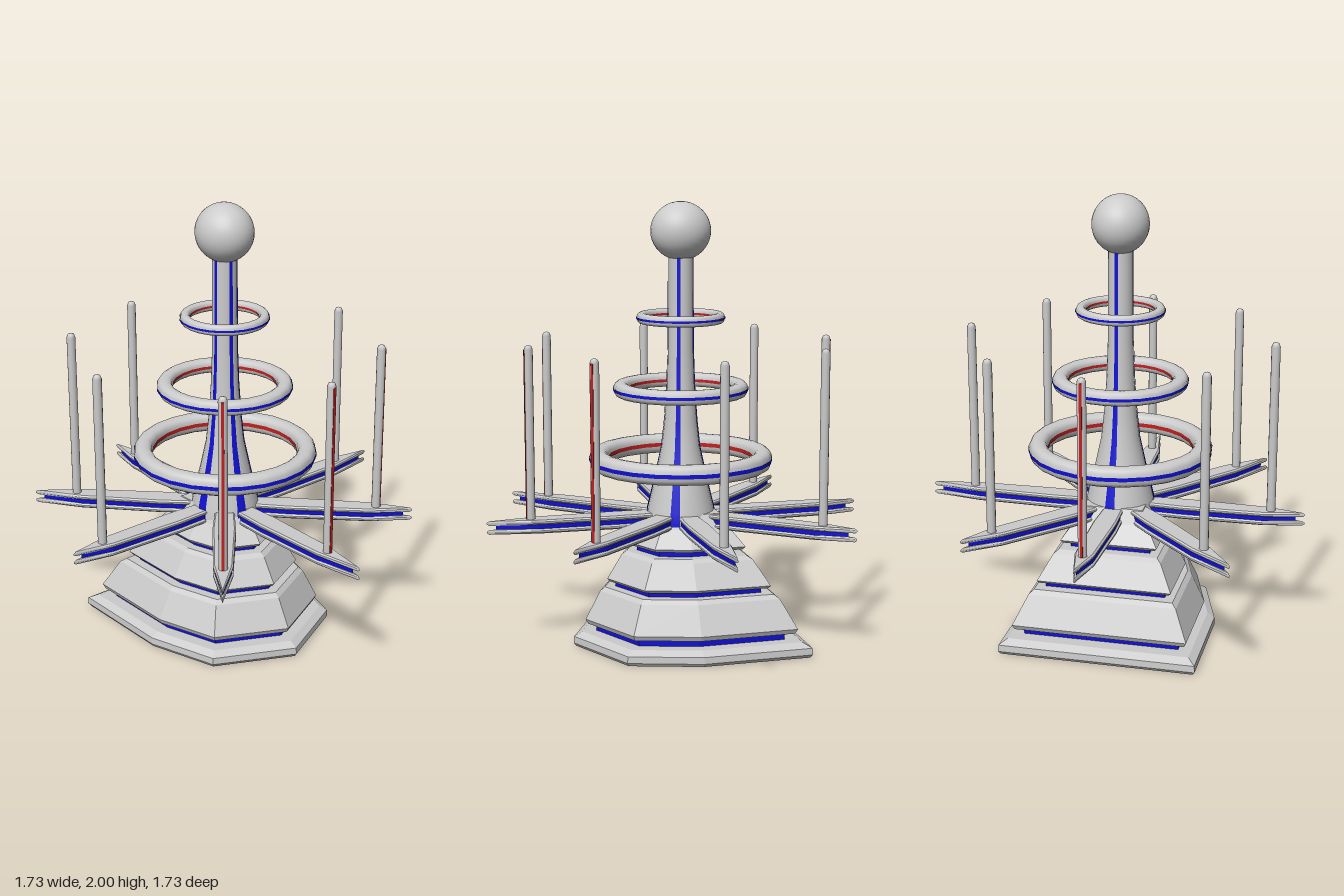
import * as THREE from 'three';

const GREY = new THREE.MeshStandardMaterial({ color: 0xcccccc });
const FLAT = new THREE.MeshStandardMaterial({ color: 0xcccccc, flatShading: true });
const BLUE = new THREE.MeshStandardMaterial({ color: 0x1010d0, side: THREE.DoubleSide });
const RED = new THREE.MeshStandardMaterial({ color: 0xc02020, side: THREE.DoubleSide });
const v2 = (x, y) => new THREE.Vector2(x, y);
const rad = THREE.MathUtils.degToRad;

// Seven-sided plan (x, z), counter-clockwise seen from above, half width 1
const PLAN = [[1, 0.03], [1, -1.1], [-1, -1.1], [-1, 0.03], [-0.78, 0.75], [0, 1.13], [0.78, 0.75]];

// Solid through scaled copies of the plan, levels = [y, half width] from bottom up
function loft(levels) {
  const n = PLAN.length, pos = [], idx = [];
  levels.forEach(([y, s]) => PLAN.forEach(([x, z]) => pos.push(x * s, y, z * s)));
  for (let k = 0; k < levels.length - 1; k++) {
    for (let i = 0; i < n; i++) {
      const a = k * n + i, b = k * n + (i + 1) % n;
      idx.push(a, b, b + n, a, b + n, a + n);
    }
  }
  const top = (levels.length - 1) * n;
  for (let i = 1; i < n - 1; i++) idx.push(0, i + 1, i, top, top + i, top + i + 1);
  const g = new THREE.BufferGeometry();
  g.setAttribute('position', new THREE.Float32BufferAttribute(pos, 3));
  g.setIndex(idx);
  const flat = g.toNonIndexed();
  flat.computeVertexNormals();
  return flat;
}

function add(parent, name, geometry, material, y = 0) {
  const m = new THREE.Mesh(geometry, material);
  m.name = name;
  m.position.y = y;
  parent.add(m);
  return m;
}

// Flat pointed blade along +x, its thickness upwards
function blade(length, w, thickness, bevel) {
  const s = new THREE.Shape([
    v2(0.06, -w * 0.8), v2(0.3, -w), v2(0.66, -w * 0.82), v2(length, 0),
    v2(0.66, w * 0.82), v2(0.3, w), v2(0.06, w * 0.8),
  ]);
  const g = new THREE.ExtrudeGeometry(s, {
    depth: thickness - 2 * bevel, bevelEnabled: bevel > 0, bevelThickness: bevel,
    bevelSize: bevel, bevelOffset: -bevel, bevelSegments: 1,
  });
  return g.rotateX(-Math.PI / 2).translate(0, bevel, 0);
}

export function createModel() {
  const model = new THREE.Group();
  model.name = 'tower';
  const body = new THREE.Group();
  body.name = 'body';
  body.position.set(-0.024, 0, -0.023);
  model.add(body);

  // Stepped base with blue bands in the gaps
  const tiers = [
    [[0, 0.435], [0.015, 0.445], [0.045, 0.443], [0.066, 0.41]],
    [[0.1, 0.385], [0.122, 0.395], [0.25, 0.335], [0.268, 0.315]],
    [[0.292, 0.295], [0.305, 0.305], [0.415, 0.245], [0.43, 0.225]],
    [[0.456, 0.21], [0.47, 0.22], [0.55, 0.165], [0.61, 0.135]],
  ];
  tiers.forEach((t, i) => add(body, 'baseTier' + (i + 1), loft(t), FLAT));
  [[0.06, 0.105, 0.352], [0.262, 0.298, 0.272], [0.425, 0.462, 0.182]].forEach(([a, b, s], i) =>
    add(body, 'baseBand' + (i + 1), loft([[a, s], [b, s]]), BLUE));

  // Flared mast with four blue strips
  const mast = [[0.155, 0.56], [0.15, 0.62], [0.116, 0.76], [0.086, 0.9], [0.073, 1.02],
    [0.062, 1.18], [0.056, 1.35], [0.054, 1.78]];
  add(body, 'mast', new THREE.LatheGeometry(mast.map(p => v2(...p)), 24), GREY);
  const stripProfile = mast.map(([r, y]) => v2(r + 0.003, y));
  [172, 100, 24, -85].forEach(a =>
    add(body, 'mastStrip', new THREE.LatheGeometry(stripProfile, 3, rad(90 - a) - 0.14, 0.28), BLUE));

  const ball = add(body, 'topBall', new THREE.SphereGeometry(0.13, 32, 20), GREY, 1.87);
  ball.scale.set(0.97, 1, 1.04);

  // Floating rings, blue band outside and red band inside
  [[0.845, 0.413, 0.33, 0.045], [1.165, 0.303, 0.235, 0.033], [1.485, 0.197, 0.155, 0.024]]
    .forEach(([y, outer, inner, h], i) => {
      const ring = new THREE.Group();
      ring.name = 'ring' + (i + 1);
      ring.position.y = y;
      body.add(ring);
      const mid = (outer + inner) / 2, half = (outer - inner) / 2, section = [];
      for (let k = 0; k <= 16; k++) {
        const a = k / 16 * Math.PI * 2;
        const soft = t => Math.sign(t) * Math.pow(Math.abs(t), 0.8);
        section.push(v2(mid + half * soft(Math.cos(a)), h * soft(Math.sin(a))));
      }
      add(ring, 'ringBody', new THREE.LatheGeometry(section, 24), GREY);
      const b = h * 0.2;
      add(ring, 'ringOuterBand', new THREE.LatheGeometry([v2(outer + 0.002, -b), v2(outer + 0.002, b)], 24), BLUE);
      add(ring, 'ringInnerBand', new THREE.LatheGeometry([v2(inner - 0.002, b), v2(inner - 0.002, -b)], 24), RED);
    });

  // Eight pointed arms with upright rods: angle, length, red strip on the rod
  const arms = [[0, 0.89, 0], [46.2, 0.855, 1], [90, 0.888, 1], [130.3, 0.888, 1],
    [180, 0.842, 0], [-133.8, 0.885, 0], [-90, 0.842, 1], [-49.5, 0.848, 0]];
  const rod = [[0, 0.59], [0.02, 0.59], [0.02, 1.365], [0.014, 1.38], [0, 1.386]].map(p => v2(...p));
  arms.forEach(([angle, length, red]) => {
    const arm = new THREE.Group();
    arm.name = 'arm';
    arm.rotation.y = -rad(angle);
    body.add(arm);
    add(arm, 'armLowerPlate', blade(length, 0.052, 0.021, 0.007), FLAT, 0.545);
    add(arm, 'armCore', blade(length - 0.04, 0.044, 0.022, 0), BLUE, 0.565);
    add(arm, 'armUpperPlate', blade(length, 0.052, 0.021, 0.007), FLAT, 0.585);
    const post = add(arm, 'rod', new THREE.LatheGeometry(rod, 12), GREY);
    post.position.x = 0.69;
    if (red) {
      const strip = add(arm, 'rodStrip', new THREE.BoxGeometry(0.006, 0.76, 0.012), RED, 0.985);
      strip.position.x = 0.708;
    }
  });
  return model;
}
